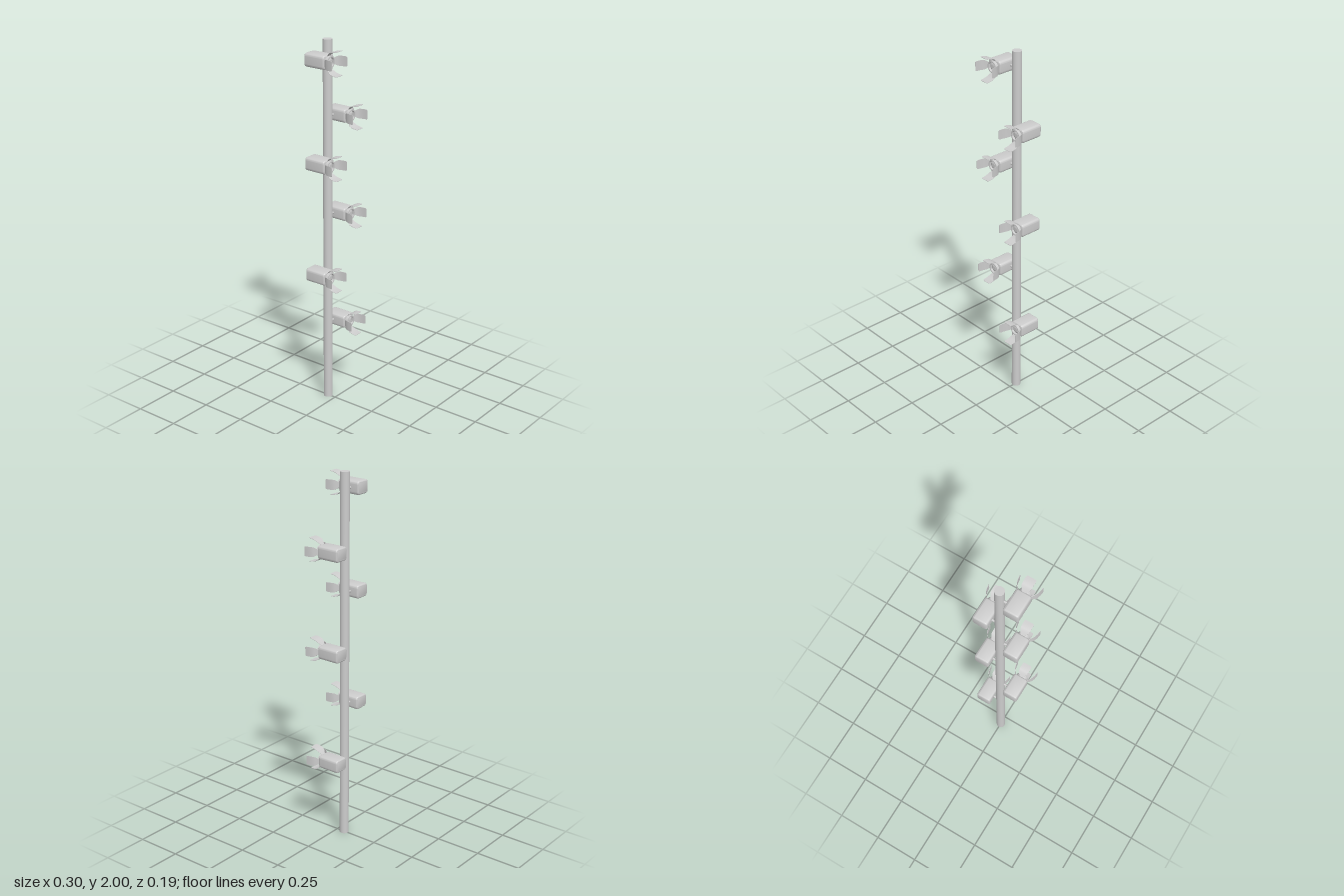
import * as THREE from 'three';
import { toCreasedNormals } from 'three/addons/utils/BufferGeometryUtils.js';

const POLE_Z = -0.047;
const grey = new THREE.MeshStandardMaterial({ color: 0xcccccc, side: THREE.DoubleSide });

function mesh(name, geometry) {
  const m = new THREE.Mesh(geometry, grey);
  m.name = name;
  return m;
}

// Housing: rounded rectangle extruded along z with softened ends
function housingGeometry(w, h, z0, z1, r, bevel) {
  const x = w / 2 - bevel, y = h / 2 - bevel;
  const s = new THREE.Shape();
  s.moveTo(-x + r, -y);
  s.lineTo(x - r, -y);
  s.absarc(x - r, -y + r, r, -Math.PI / 2, 0);
  s.lineTo(x, y - r);
  s.absarc(x - r, y - r, r, 0, Math.PI / 2);
  s.lineTo(-x + r, y);
  s.absarc(-x + r, y - r, r, Math.PI / 2, Math.PI);
  s.lineTo(-x, -y + r);
  s.absarc(-x + r, -y + r, r, Math.PI, Math.PI * 1.5);
  const g = new THREE.ExtrudeGeometry(s, {
    depth: z1 - z0 - 2 * bevel, bevelEnabled: true, bevelSize: bevel,
    bevelThickness: bevel, bevelSegments: 4, curveSegments: 4,
  });
  g.translate(0, 0, z0 + bevel);
  return toCreasedNormals(g, 0.7);
}

// Barn door: thin bent plate lofted through [distance from axis, z, half width]
function doorGeometry() {
  const stations = [
    [0.029, 0.024, 0.009], [0.041, 0.037, 0.019], [0.049, 0.046, 0.0245],
    [0.054, 0.054, 0.026], [0.059, 0.072, 0.026], [0.0612, 0.09, 0.0255],
    [0.0617, 0.0945, 0.022],
  ];
  const t = 0.001, pos = [], idx = [];
  for (const [r, z, w] of stations) {
    pos.push(-w, r - t, z, w, r - t, z, w, r + t, z, -w, r + t, z);
  }
  const last = (stations.length - 1) * 4;
  for (let i = 0; i < last; i += 4) {
    for (let k = 0; k < 4; k++) {
      const a = i + k, b = i + (k + 1) % 4;
      idx.push(a, b, b + 4, a, b + 4, a + 4);
    }
  }
  idx.push(0, 2, 1, 0, 3, 2, last, last + 1, last + 2, last, last + 2, last + 3);
  const g = new THREE.BufferGeometry();
  g.setAttribute('position', new THREE.Float32BufferAttribute(pos, 3));
  g.setIndex(idx);
  return toCreasedNormals(g, 0.6);
}

// Lens barrel: hollow ring around a domed lens, turned about z
function lathe(points) {
  const g = new THREE.LatheGeometry(points.map(([r, z]) => new THREE.Vector2(r, z)), 32);
  return toCreasedNormals(g.rotateX(Math.PI / 2), 0.6);
}

export function createModel() {
  const group = new THREE.Group();
  group.name = 'lightPole';

  const pole = mesh('pole', new THREE.CylinderGeometry(0.0245, 0.0245, 2, 32));
  pole.position.set(0, 1, POLE_Z);
  group.add(pole);

  const housing = housingGeometry(0.084, 0.071, -0.096, 0.027, 0.008, 0.008);
  const barrel = lathe([[0.031, 0.02], [0.031, 0.042], [0.025, 0.042], [0.025, 0.026]]);
  const lens = lathe([[0.025, 0.029], [0.021, 0.033], [0.015, 0.036], [0.008, 0.038], [0, 0.0385]]);
  const door = doorGeometry();
  const arm = new THREE.CylinderGeometry(0.0065, 0.0065, 0.05, 16).rotateZ(Math.PI / 2);

  // Spotlights alternate between the two sides of the pole
  [0.445, 0.755, 1.065, 1.37, 1.6, 1.91].forEach((y, i) => {
    const side = i === 0 || i === 2 || i === 4 ? 1 : -1;
    const lamp = new THREE.Group();
    lamp.name = 'spotlight';
    lamp.position.set(side * 0.085, y, 0);
    lamp.add(mesh('housing', housing), mesh('lensBarrel', barrel), mesh('lens', lens));
    for (let k = 0; k < 4; k++) {
      const d = mesh('barnDoor', door);
      d.rotation.z = k * Math.PI / 2;
      lamp.add(d);
    }
    const a = mesh('mountingArm', arm);
    a.position.set(-side * 0.05, 0, POLE_Z);
    lamp.add(a);
    group.add(lamp);
  });
  return group;
}
